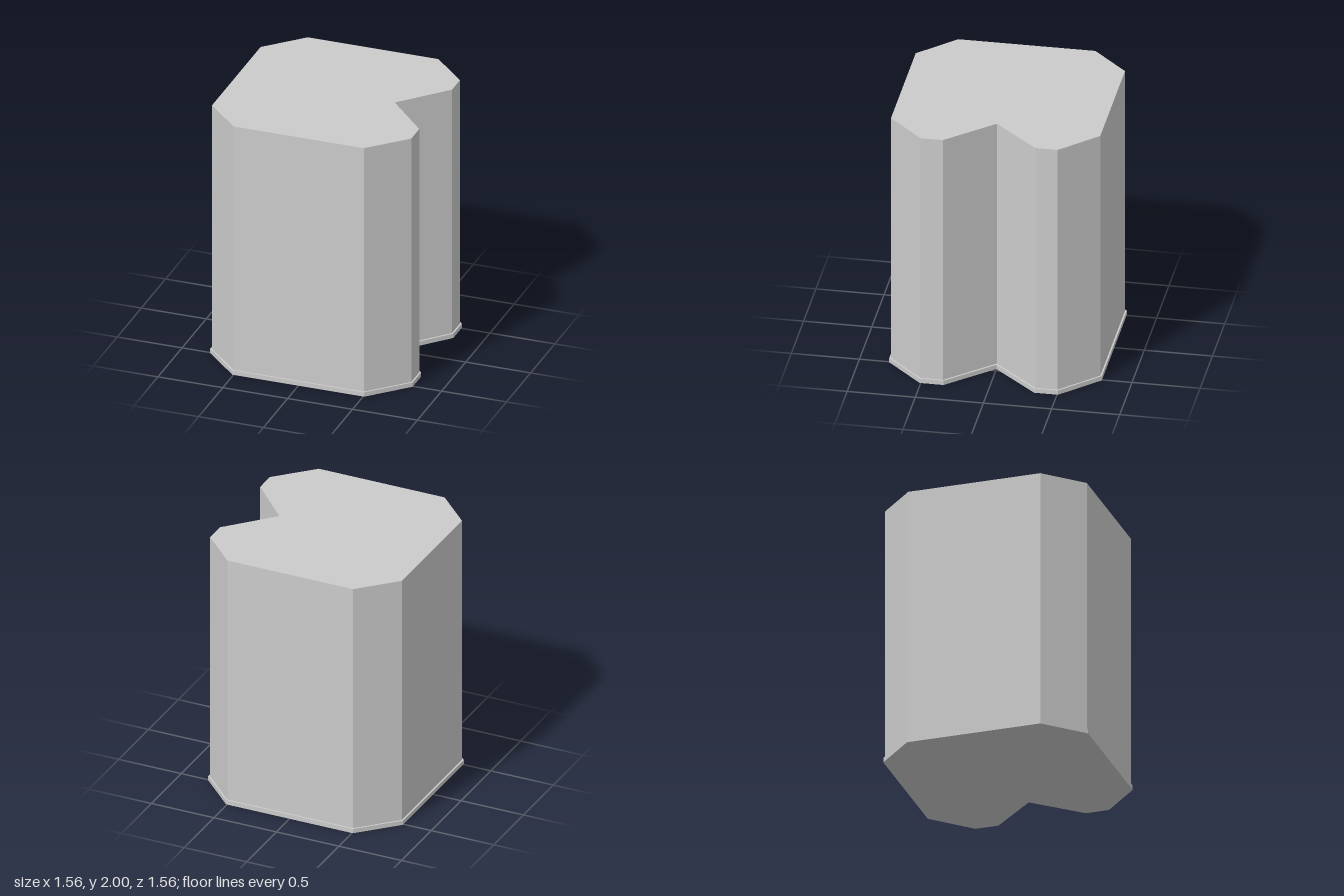
import * as THREE from 'three';

const material = new THREE.MeshStandardMaterial({ color: 0xcccccc, flatShading: true });

// Chamfered square prism with a V notch in its +x side
function notchedPrism(name, half, chamfer, notchZ, notchX, bottom, top) {
  const upper = [[notchX, 0], [half, notchZ], [half, chamfer], [chamfer, half], [-chamfer, half], [-half, chamfer]];
  const lower = upper.slice(1).reverse().map(([x, y]) => [x, -y]);
  const shape = new THREE.Shape([...upper, ...lower].map(([x, y]) => new THREE.Vector2(x, y)));
  const geometry = new THREE.ExtrudeGeometry(shape, { depth: top - bottom, bevelEnabled: false });
  geometry.rotateX(-Math.PI / 2).translate(0, bottom, 0);
  const mesh = new THREE.Mesh(geometry, material);
  mesh.name = name;
  return mesh;
}

export function createModel() {
  const model = new THREE.Group();
  model.name = 'notchedColumn';
  // Thin footing, slightly wider than the column
  model.add(notchedPrism('basePlate', 0.78, 0.508, 0.333, 0.473, 0, 0.035));
  // Tall column
  model.add(notchedPrism('columnBody', 0.768, 0.503, 0.339, 0.453, 0.035, 2));
  return model;
}
